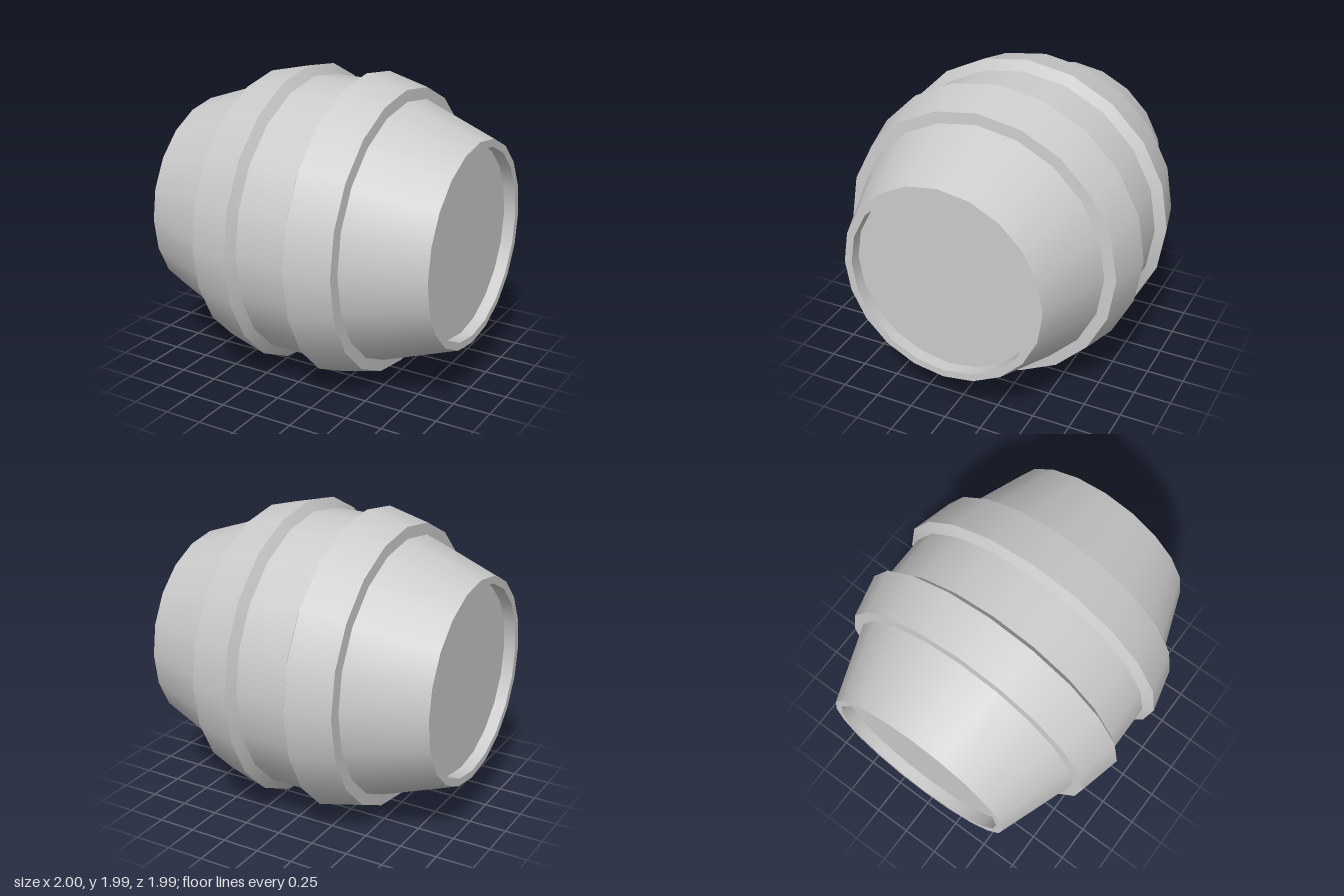
import * as THREE from 'three';

const SIDES = 20;
const AXIS_Y = 0.996;
const material = new THREE.MeshStandardMaterial({ color: 0xcccccc });

// Turned part around the x axis; every profile step [x, radius] is its own lathe, so its edges stay sharp
function turnedPart(name, profile, mirrored) {
  const points = mirrored ? profile.map(([x, r]) => [-x, r]).reverse() : profile;
  const part = new THREE.Group();
  part.name = name;
  for (let i = 0; i < points.length - 1; i++) {
    const pair = [points[i], points[i + 1]].map(([x, r]) => new THREE.Vector2(r, x));
    const geometry = new THREE.LatheGeometry(pair, SIDES);
    geometry.rotateZ(-Math.PI / 2);
    const mesh = new THREE.Mesh(geometry, material);
    mesh.name = `${name}Surface${i + 1}`;
    part.add(mesh);
  }
  return part;
}

export function createModel() {
  const barrel = new THREE.Group();
  barrel.name = 'barrel';

  // Recessed lid, rim and tapered end, listed from the -x side
  const end = [[-0.92, 0], [-0.92, 0.62], [-1, 0.62], [-1, 0.67], [-0.5, 0.85]];
  // Raised band that flares towards the middle
  const band = [[-0.5, 0.85], [-0.495, 0.925], [-0.21, 0.994], [-0.17, 0.928]];

  for (const [side, mirrored] of [['right', false], ['left', true]]) {
    barrel.add(turnedPart(`${side}End`, end, mirrored));
    barrel.add(turnedPart(`${side}Band`, band, mirrored));
  }

  // Straight waist between the bands
  barrel.add(turnedPart('waist', [[-0.17, 0.928], [0.17, 0.928]], false));

  barrel.position.y = AXIS_Y;
  const model = new THREE.Group();
  model.name = 'barrelModel';
  model.add(barrel);
  return model;
}
